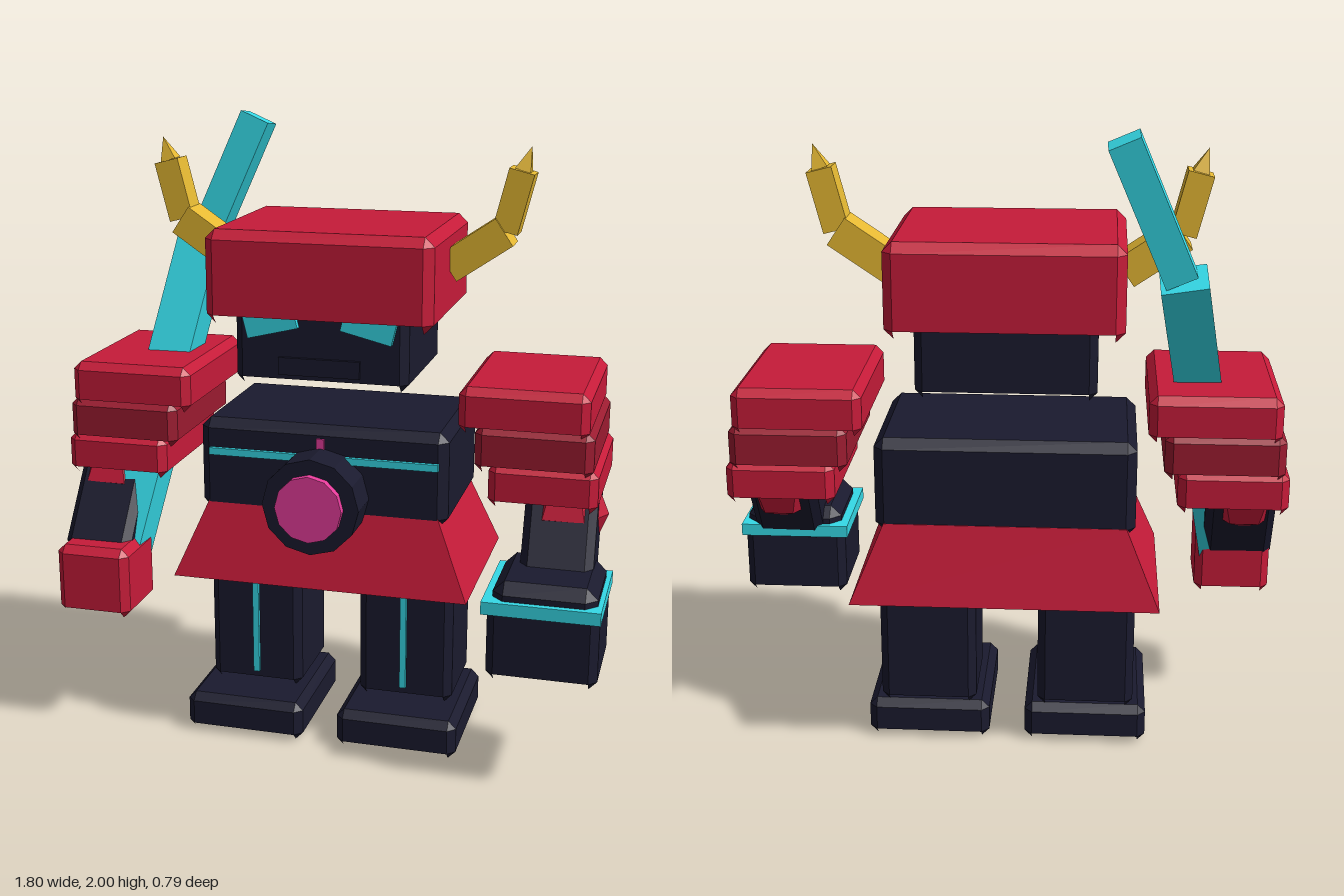
import * as THREE from 'three';

const paint = (name, color) => Object.assign(new THREE.MeshStandardMaterial({ color }), { name });
const MIRROR = -0.013; // x of the body's plane of symmetry

// Box with flat chamfers on top and sides, a flat underside and small pointed lower corners
function chamferBox(w, h, d, b) {
  const half = [w / 2, h / 2, d / 2], out = [];
  const point = (axis, s) => s.map((v, i) => v * (half[i] - (i === axis ? 0 : b)));
  const face = (pts) => {
    const [p, q, r] = pts.map(v => new THREE.Vector3(...v));
    const n = q.clone().sub(p).cross(r.clone().sub(p));
    if (n.dot(pts.reduce((m, v) => m.add(new THREE.Vector3(...v)), new THREE.Vector3())) < 0)
      pts = pts.slice().reverse();
    for (let i = 1; i < pts.length - 1; i++) out.push(...pts[0], ...pts[i], ...pts[i + 1]);
  };
  const signs = (o) => { const s = [0, 0, 0]; o.forEach(([i, v]) => { s[i] = v; }); return s; };
  const ring = [[-1, -1], [1, -1], [1, 1], [-1, 1]];
  for (let a = 0; a < 3; a++) {
    const u = (a + 1) % 3, v = (a + 2) % 3;
    for (const s of [-1, 1]) {
      if (a !== 1 || s > 0) face(ring.map(([m, n]) => point(a, signs([[a, s], [u, m], [v, n]]))));
      // edge strips between axes a and u
      for (const t of [-1, 1]) {
        if ((a === 1 && s < 0) || (u === 1 && t < 0)) continue;
        const c = (k, e) => point(k, signs([[a, s], [u, t], [v, e]]));
        face([c(a, -1), c(a, 1), c(u, 1), c(u, -1)]);
      }
    }
  }
  for (const x of [-1, 1]) for (const y of [-1, 1]) for (const z of [-1, 1])
    face([0, 1, 2].map(a => point(a, [x, y, z])));
  // underside, an oblong with cut corners
  face(ring.flatMap(([x, z]) => {
    const pair = [point(0, [x, -1, z]), point(2, [x, -1, z])];
    return x * z > 0 ? pair : pair.reverse();
  }));
  const g = new THREE.BufferGeometry();
  g.setAttribute('position', new THREE.Float32BufferAttribute(out, 3));
  g.computeVertexNormals();
  return g;
}

// Flat-shaded copy of a geometry
function faceted(g) {
  const flat = g.toNonIndexed();
  flat.computeVertexNormals();
  return flat;
}

// Plain box with one side turned inward
function boxTurned(w, h, d, side) {
  const g = new THREE.BoxGeometry(w, h, d), ix = g.index;
  for (let i = side * 6; i < side * 6 + 6; i += 3) {
    const t = ix.getX(i);
    ix.setX(i, ix.getX(i + 1));
    ix.setX(i + 1, t);
  }
  return faceted(g);
}

export function createModel() {
  const model = new THREE.Group();
  model.name = 'armoredWarrior';
  const red = paint('armorRed', 0xc61b39), darkRed = paint('deepRed', 0x9b1b30);
  const navy = paint('navy', 0x1a1a2e), cyan = paint('cyan', 0x36dcea);
  const gold = paint('gold', 0xe6b933), pink = paint('pink', 0xe63c9b);

  const add = (name, geometry, material, x = 0, y = 0, z = 0) => {
    const m = new THREE.Mesh(geometry, material);
    m.name = name;
    m.position.set(x, y, z);
    model.add(m);
    return m;
  };
  // Parts placed by their limits on x, y and z
  const block = (name, mat, x0, x1, y0, y1, z0, z1, b = 0.025) => add(name,
    b ? chamferBox(x1 - x0, y1 - y0, z1 - z0, b) : new THREE.BoxGeometry(x1 - x0, y1 - y0, z1 - z0),
    mat, (x0 + x1) / 2, (y0 + y1) / 2, (z0 + z1) / 2);
  // Stands a geometry of the segment's length between two points
  const span = (name, mat, from, to, make) => {
    const a = new THREE.Vector3(...from), dir = new THREE.Vector3(...to).sub(a);
    const m = add(name, make(dir.length()), mat);
    m.position.copy(a).addScaledVector(dir, 0.5);
    m.quaternion.setFromUnitVectors(new THREE.Vector3(0, 1, 0), dir.normalize());
    return m;
  };

  // Torso, chest trim and medallion
  block('torso', navy, -0.415, 0.39, 0.765, 1.072, -0.33, 0.175, 0.03);
  block('chestStripe', cyan, -0.38, 0.363, 0.957, 0.98, 0.17, 0.188, 0);
  block('chestMark', pink, -0.026, -0.002, 0.99, 1.033, 0.17, 0.184, 0);
  const disc = (name, mat, r, z0, z1) =>
    add(name, faceted(new THREE.CylinderGeometry(r, r, z1 - z0, 12)), mat, MIRROR, 0.848, (z0 + z1) / 2)
      .rotation.x = Math.PI / 2;
  disc('medallion', navy, 0.155, 0.16, 0.305);
  disc('medallionGem', pink, 0.107, 0.29, 0.33);

  // Flared skirt
  const skirt = new THREE.BoxGeometry(0.962, 0.25, 0.625);
  const p = skirt.attributes.position;
  for (let i = 0; i < p.count; i++) if (p.getY(i) > 0) {
    p.setX(i, p.getX(i) * 0.78);
    p.setZ(i, p.getZ(i) * 0.81);
  }
  add('skirt', faceted(skirt), red, MIRROR, 0.675, -0.0795);

  // Head, face and helmet
  block('head', navy, -0.29, 0.262, 1.195, 1.45, -0.3, 0.18);
  block('mouthPlate', navy, -0.145, 0.114, 1.235, 1.29, 0.17, 0.192, 0);
  block('helmet', red, -0.37, 0.346, 1.39, 1.683, -0.352, 0.235, 0.03);

  for (const s of [-1, 1]) {
    const side = s > 0 ? 'left' : 'right';
    const X = (x) => MIRROR + s * x;
    const pair = (name, mat, x0, x1, ...rest) =>
      block(side + name, mat, Math.min(X(x0), X(x1)), Math.max(X(x0), X(x1)), ...rest);

    add(side + 'Eye', new THREE.BoxGeometry(0.165, 0.08, 0.03), cyan, X(0.157), 1.405, 0.185)
      .rotation.z = -s * 0.24;

    // Horn: open-bottomed base with an end plate, middle and pointed tip
    const [h0, h1, h2, h3] = [[0.355, 1.555], [0.525, 1.67], [0.572, 1.855], [0.595, 1.927]]
      .map(([x, y]) => [X(x), y, -0.08]);
    const base = span(side + 'HornBase', gold, h0, h1, l => boxTurned(0.1, l, 0.105, s > 0 ? 0 : 1));
    const plate = add(side + 'HornEndPlate', new THREE.BoxGeometry(0.1, 0.006, 0.105), gold, ...h0);
    plate.quaternion.copy(base.quaternion);
    span(side + 'HornMiddle', gold, h1, h2, l => new THREE.BoxGeometry(0.08, l, 0.085));
    span(side + 'HornTip', gold, h2, h3,
      l => faceted(new THREE.ConeGeometry(0.036, l, 4).rotateY(Math.PI / 4)));

    // Legs and feet
    pair('Foot', navy, 0.058, 0.453, 0, 0.13, -0.235, 0.225);
    pair('Leg', navy, 0.1, 0.41, 0.127, 0.66, -0.235, 0.08);
    pair('LegStripe', cyan, 0.241, 0.261, 0.175, 0.6, 0.07, 0.093, 0);

    // Shoulder plates stacked from the top down
    pair('UpperShoulder', red, 0.432, 0.831, 1.083, 1.23, -0.35, 0.19);
    pair('MiddleShoulder', darkRed, 0.483, 0.847, 0.962, 1.11, -0.34, 0.183);
    pair('LowerShoulder', red, 0.526, 0.863, 0.85, 0.99, -0.33, 0.173);

    // Faceted elbow guard and bent arm
    add(side + 'Elbow', faceted(new THREE.SphereGeometry(0.13, 6, 4)), red, X(0.757), 0.81, 0.01);
    span(side + 'Arm', navy, [X(0.752), 0.57, 0.175], [X(0.742), 0.92, -0.06],
      l => chamferBox(0.225, l, 0.18, 0.025));
  }

  // Bare right hand
  block('rightHand', red, -0.873, -0.627, 0.408, 0.645, 0.07, 0.315);

  // Left gauntlet with cuff and glowing band
  block('leftGauntlet', navy, 0.555, 0.892, 0.373, 0.615, 0.06, 0.385);
  block('leftCuff', navy, 0.567, 0.882, 0.55, 0.685, 0.055, 0.375, 0.035);
  block('leftCuffBand', cyan, 0.54, 0.897, 0.592, 0.632, 0.035, 0.395, 0);

  // Bent blade rising from the right hand over the shoulder
  span('bladeLower', cyan, [-0.71, 0.57, 0.14], [-0.538, 1.565, -0.245],
    l => new THREE.BoxGeometry(0.143, l, 0.13));
  span('bladeUpper', cyan, [-0.53, 1.565, -0.24], [-0.352, 1.978, -0.287],
    l => new THREE.BoxGeometry(0.1, l, 0.1));

  return model;
}
